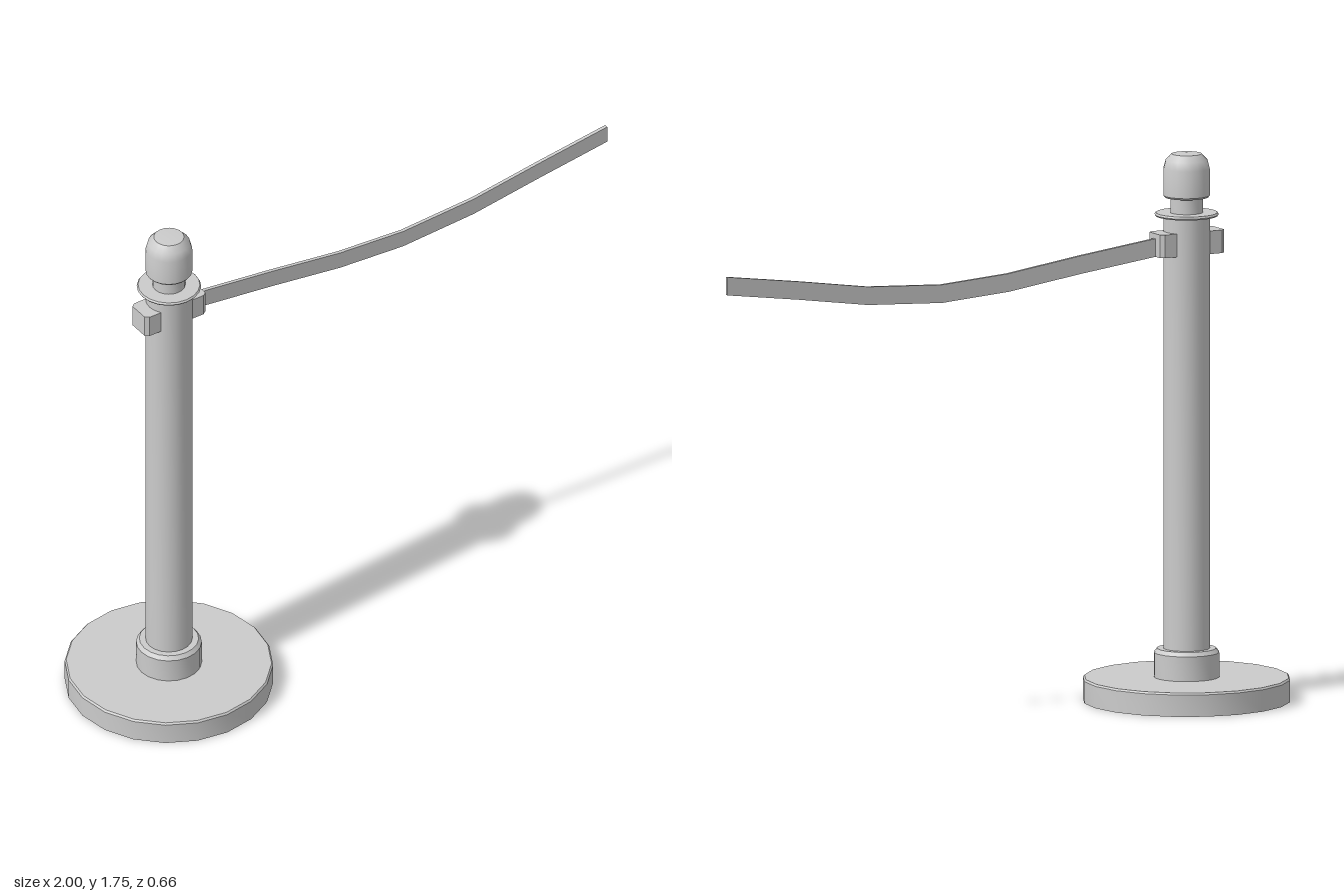
import * as THREE from 'three';
import { toCreasedNormals } from 'three/addons/utils/BufferGeometryUtils.js';

const POST_X = -0.67;

export function createModel() {
  const model = new THREE.Group();
  const grey = new THREE.MeshStandardMaterial({ color: 0xcccccc, side: THREE.DoubleSide });

  const add = (name, geometry, parent) => {
    const mesh = new THREE.Mesh(toCreasedNormals(geometry, 0.6), grey);
    mesh.name = name;
    parent.add(mesh);
    return mesh;
  };
  // Turned part from [radius, height] pairs, bottom to top
  const turned = (name, profile, parent) =>
    add(name, new THREE.LatheGeometry(profile.map(([r, y]) => new THREE.Vector2(r, y)), 20), parent);

  const post = new THREE.Group();
  post.name = 'post';
  post.position.x = POST_X;
  model.add(post);

  // Hollow base, open underneath, rising into a collar
  turned('base', [[0.33, 0], [0.33, 0.07], [0.325, 0.076], [0.104, 0.076]], post);
  turned('collar', [[0.104, 0.076], [0.104, 0.155], [0.094, 0.168], [0.074, 0.168]], post);
  turned('pole', [[0.074, 0.168], [0.074, 1.553]], post);
  turned('flange', [[0.074, 1.553], [0.098, 1.553], [0.102, 1.558], [0.098, 1.564], [0.052, 1.564]], post);
  turned('neck', [[0.052, 1.564], [0.052, 1.613]], post);
  turned('cap', [[0.052, 1.613], [0.069, 1.613], [0.074, 1.619], [0.074, 1.705],
    [0.067, 1.732], [0.048, 1.752], [0, 1.755]], post);

  // Belt clips on both sides, with chamfered outer corners
  const clipShape = new THREE.Shape([[0.05, -0.044], [0.103, -0.044], [0.116, -0.034],
    [0.116, 0.034], [0.103, 0.044], [0.05, 0.044]].map(([x, y]) => new THREE.Vector2(x, y)));
  for (const [name, turn] of [['leftClip', 0], ['rightClip', Math.PI]]) {
    const geometry = new THREE.ExtrudeGeometry(clipShape, { depth: 0.074, bevelEnabled: false });
    geometry.rotateX(-Math.PI / 2).translate(0, 1.431, 0).rotateY(turn);
    add(name, geometry, post);
  }

  // Sagging belt
  const line = [[-0.56, 1.461], [-0.28, 1.427], [-0.02, 1.391], [0.22, 1.375],
    [0.49, 1.39], [0.74, 1.427], [1, 1.462]];
  const edge = (dy) => line.map(([x, y]) => new THREE.Vector2(x, y + dy));
  const beltShape = new THREE.Shape([...edge(-0.029), ...edge(0.029).reverse()]);
  const belt = new THREE.ExtrudeGeometry(beltShape, { depth: 0.012, bevelEnabled: false });
  add('belt', belt.translate(0, 0, -0.006), model);

  return model;
}
